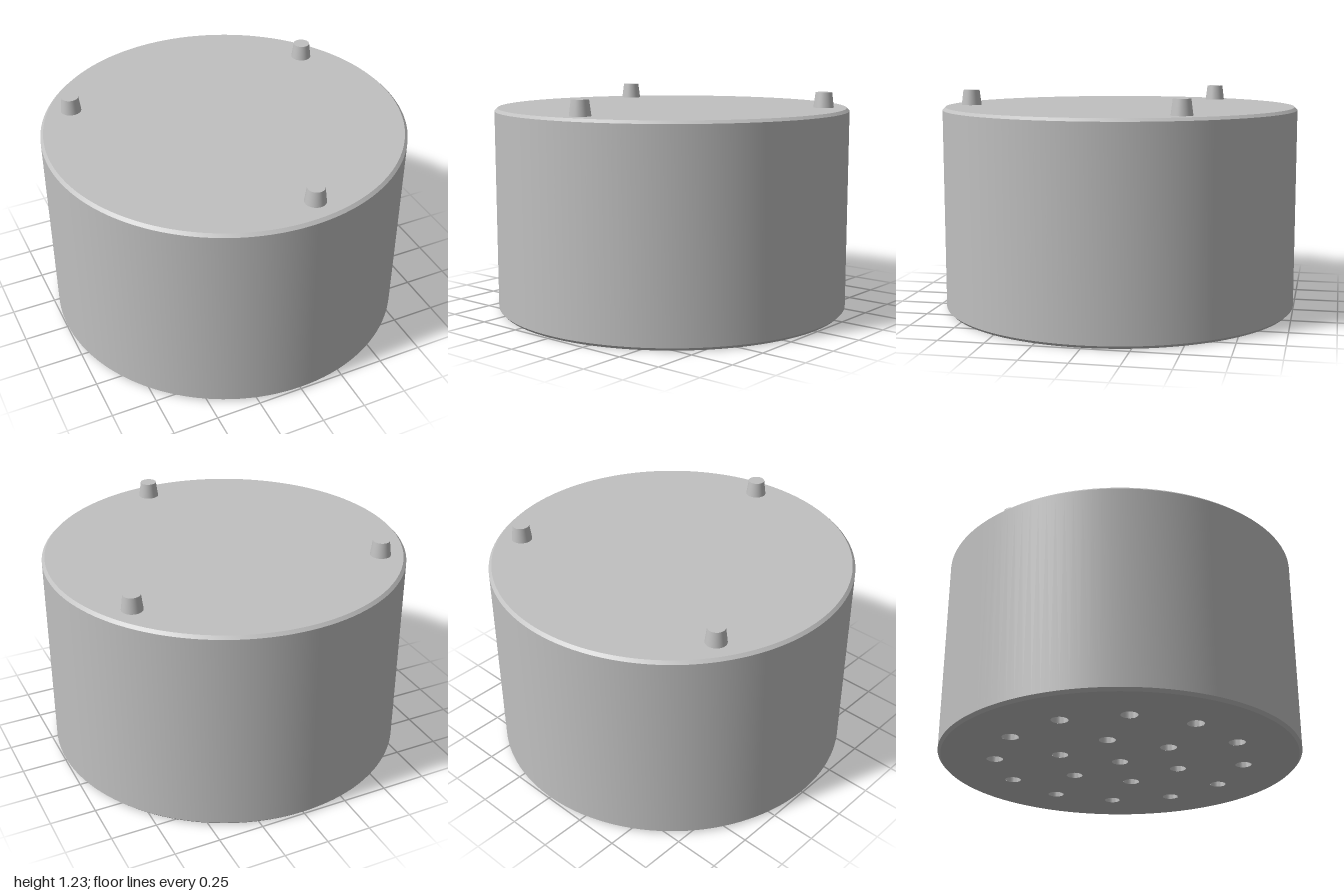
import * as THREE from 'three';
import { toCreasedNormals } from 'three/addons/utils/BufferGeometryUtils.js';

const RADIUS = 1, HEIGHT = 1.145, BEVEL = 0.016;
const HOLE_RADIUS = 0.045, HOLE_DEPTH = 0.15;

// Revolved profile with crisp edges
function turned(profile, segments) {
  const points = profile.map(([r, y]) => new THREE.Vector2(r, y));
  return toCreasedNormals(new THREE.LatheGeometry(points, segments), 0.5);
}

// Evenly spaced [x, z] positions on a circle
function ring(count, radius, startDegrees) {
  return Array.from({ length: count }, (_, i) => {
    const a = THREE.MathUtils.degToRad(startDegrees) + (i / count) * Math.PI * 2;
    return [radius * Math.cos(a), radius * Math.sin(a)];
  });
}

export function createModel() {
  const model = new THREE.Group();
  model.name = 'perforatedDrum';
  const grey = new THREE.MeshStandardMaterial({ color: 0xc0c0c0 });
  grey.name = 'plain grey';

  const add = (name, geometry, x = 0, y = 0, z = 0) => {
    const mesh = new THREE.Mesh(geometry, grey);
    mesh.name = name;
    mesh.position.set(x, y, z);
    model.add(mesh);
  };

  // Drum wall with bevelled rims and closed top
  add('body', turned([
    [RADIUS - BEVEL, 0], [RADIUS, BEVEL],
    [RADIUS, HEIGHT - BEVEL], [RADIUS - BEVEL, HEIGHT], [0, HEIGHT],
  ], 128));

  // Hole pattern: centre, inner ring and outer ring
  const holes = [[0, 0], ...ring(6, 0.345, 0), ...ring(12, 0.69, 15)];

  // Perforated underside
  const base = new THREE.Shape().absarc(0, 0, RADIUS - BEVEL, 0, Math.PI * 2);
  for (const [x, z] of holes) {
    base.holes.push(new THREE.Path().absarc(x, z, HOLE_RADIUS, 0, Math.PI * 2, true));
  }
  add('underside', new THREE.ShapeGeometry(base, 64).rotateX(Math.PI / 2));

  // Blind hole linings, facing inwards
  const lining = turned([[0, HOLE_DEPTH], [HOLE_RADIUS, HOLE_DEPTH], [HOLE_RADIUS, 0]], 32);
  holes.forEach(([x, z], i) => add(`hole${i + 1}`, lining, x, 0, z));

  // Tapered locating pegs on the top
  const pegHeight = 0.085;
  const peg = new THREE.CylinderGeometry(0.046, 0.057, pegHeight, 40);
  [[-0.725, -0.46], [0.722, -0.46], [0.105, 0.85]].forEach(([x, z], i) =>
    add(`peg${i + 1}`, peg, x, HEIGHT + pegHeight / 2, z));

  return model;
}
